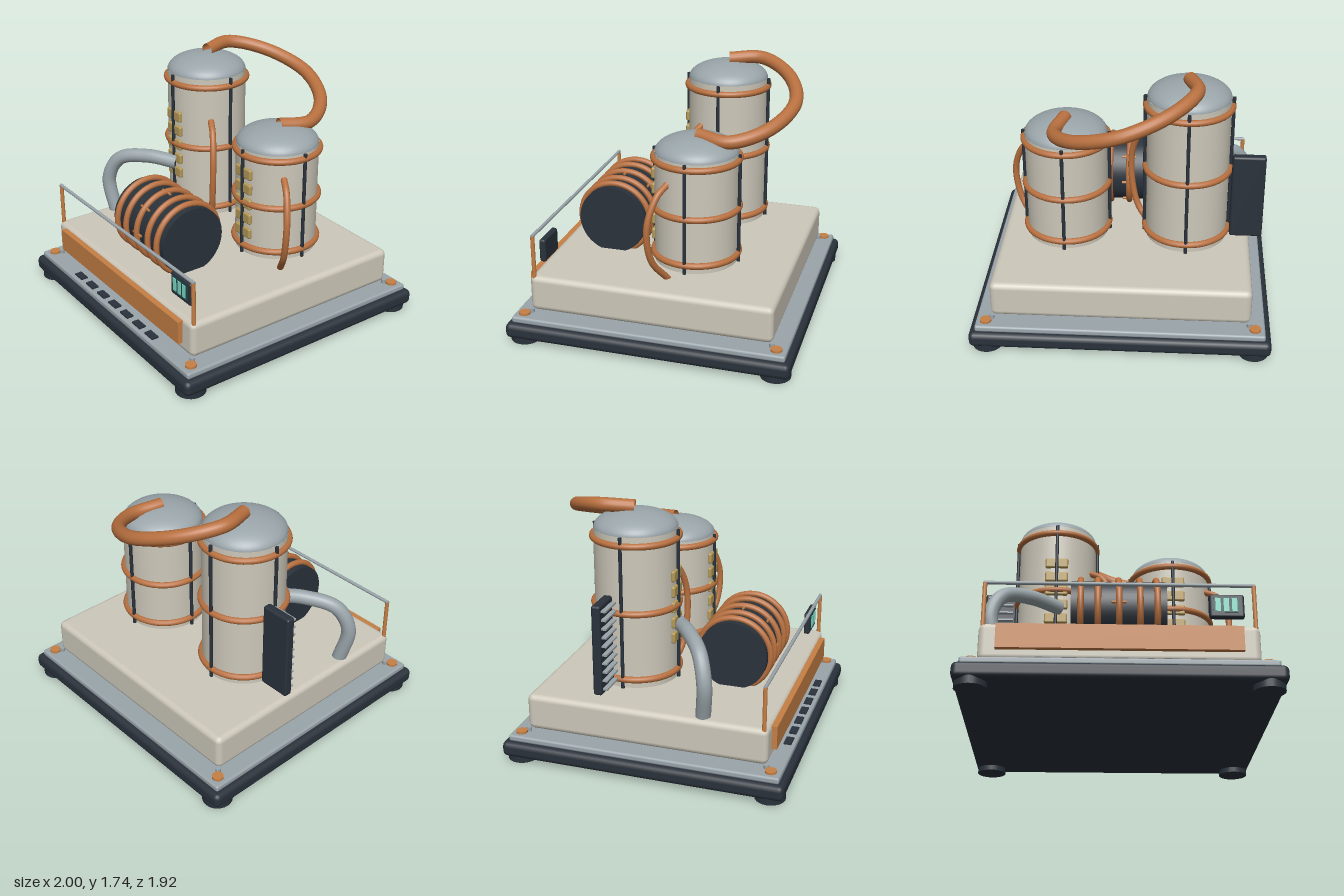
import * as THREE from 'three';
import { RoundedBoxGeometry } from 'three/addons/geometries/RoundedBoxGeometry.js';

const mat = (color, side = THREE.FrontSide) => new THREE.MeshStandardMaterial({ color, side });

export function createModel() {
  const root = new THREE.Group();
  const cream = mat(0xcdc8ba), dark = mat(0x2a323b), copper = mat(0xb8703f), orange = mat(0xc67f45);
  const steel = mat(0x9aa5aa), brass = mat(0xb59a58), teal = mat(0x7fdcc8), screenGreen = mat(0x1f4a4a);
  const copperPipe = mat(0xb8703f, THREE.DoubleSide), steelPipe = mat(0x9aa5aa, THREE.DoubleSide);

  const add = (name, geo, material, x = 0, y = 0, z = 0, parent = root) => {
    const m = new THREE.Mesh(geo, material);
    m.name = name;
    m.position.set(x, y, z);
    parent.add(m);
    return m;
  };
  const group = (name, x = 0, y = 0, z = 0, parent = root) => {
    const g = new THREE.Group();
    g.name = name;
    g.position.set(x, y, z);
    parent.add(g);
    return g;
  };
  const box = (w, h, d) => new THREE.BoxGeometry(w, h, d);
  const rbox = (w, h, d, r) => new RoundedBoxGeometry(w, h, d, 2, r);
  const cyl = (r, h, n = 16, r2 = r) => new THREE.CylinderGeometry(r, r2, h, n);
  const pipe = (name, pts, r, material) => {
    const curve = new THREE.CatmullRomCurve3(pts.map(p => new THREE.Vector3(...p)));
    return add(name, new THREE.TubeGeometry(curve, 64, r, 16), material);
  };

  // Base slab, top plate and main housing
  add('baseSlab', rbox(2, 0.105, 1.925, 0.035), dark, 0, 0.088, 0);
  add('basePlate', rbox(1.92, 0.045, 1.85, 0.015), steel, 0, 0.16, 0);
  add('housing', rbox(1.73, 0.25, 1.65, 0.04), cream, 0, 0.325, 0);

  // Feet and corner bolts
  for (const sx of [-1, 1]) for (const sz of [-1, 1]) {
    add('foot', cyl(0.1, 0.07, 24), dark, sx * 0.888, 0.035, sz * 0.857);
    add('cornerBolt', cyl(0.038, 0.016), orange, sx * 0.892, 0.19, sz * 0.857);
    add('cornerPin', cyl(0.018, 0.04, 10), steel, sx * 0.855, 0.19, sz * 0.82);
  }

  // Front vents and front panel
  for (let i = -3; i <= 3; i++) add('vent', box(0.095, 0.016, 0.05), dark, i * 0.155, 0.185, 0.875);
  add('frontPanel', box(1.514, 0.16, 0.04), orange, 0, 0.35, 0.84);

  // Guard rail
  const rail = group('guardRail', 0, 0, 0.795);
  for (const sx of [-1, 1]) add('railPost', cyl(0.014, 0.31, 12), orange, sx * 0.84, 0.58, 0, rail);
  const bar = add('railBar', cyl(0.012, 1.7, 12), steel, 0, 0.735, 0, rail);
  bar.rotation.z = Math.PI / 2;

  // Meter with lit bars
  const meter = group('meter', 0.67, 0.605, 0.757);
  add('meterCase', rbox(0.22, 0.16, 0.045, 0.015), dark, 0, 0, 0, meter);
  add('meterScreen', box(0.17, 0.11, 0.006), screenGreen, 0, 0.005, 0.022, meter);
  for (let i = -1; i <= 1; i++) add('meterBar', box(0.034, 0.09, 0.006), teal, i * 0.052 - 0.005, 0.005, 0.026, meter);

  // Tanks: shell, flattened dome, hoops, vertical straps and sight windows
  const tank = (name, x, top, hoops, windows) => {
    const g = group(name, x, 0, -0.195), bottom = 0.525, h = top - bottom;
    add('tankShell', cyl(0.277, h, 48), cream, 0, bottom + h / 2, 0, g);
    const dome = add('tankDome', new THREE.SphereGeometry(0.277, 48, 14, 0, Math.PI * 2, 0, Math.PI / 2), steel, 0, top - 0.005, 0, g);
    dome.scale.y = 0.42;
    for (const y of hoops) {
      const hoop = add('tankHoop', new THREE.TorusGeometry(0.283, 0.022, 12, 48), copper, 0, y, 0, g);
      hoop.rotation.x = Math.PI / 2;
    }
    for (let i = 0; i < 4; i++) {
      const a = i * Math.PI / 2;
      add('tankStrap', cyl(0.012, h, 10), dark, Math.sin(a) * 0.289, bottom + h / 2, Math.cos(a) * 0.289, g);
    }
    for (const y of windows) add('sightWindow', rbox(0.16, 0.075, 0.03, 0.012), brass, 0, y, 0.276, g);
  };
  tank('tallTank', -0.42, 1.555, [1.497, 1.043, 0.585], [1.255, 1.148, 1.041, 0.934, 0.827]);
  tank('shortTank', 0.397, 1.278, [1.24, 0.905, 0.582], [1.117, 1.009, 0.901, 0.793, 0.685]);

  // Large pipe joining the two domes
  pipe('crossoverPipe', [[-0.42, 1.68, -0.2], [-0.468, 1.69, -0.42], [-0.3, 1.63, -0.645], [0, 1.53, -0.755],
    [0.3, 1.43, -0.645], [0.45, 1.372, -0.42], [0.4, 1.385, -0.2]], 0.046, copperPipe);

  // Thin drain pipes bowing out from each tank
  for (const [x, y] of [[-0.42, 1.25], [0.397, 1.115]]) {
    pipe('drainPipe', [[x + 0.235, y, -0.065], [x + 0.32, y - 0.06, -0.02], [x + 0.388, y - 0.25, 0.025],
      [x + 0.35, 0.62, 0.01], [x + 0.22, 0.44, -0.065]], 0.022, copperPipe);
  }

  // Grey hose from tall tank to housing
  pipe('hose', [[-0.39, 0.9, 0.09], [-0.58, 0.915, 0.22], [-0.76, 0.865, 0.345], [-0.835, 0.7, 0.4], [-0.785, 0.43, 0.38]],
    0.05, steelPipe);

  // Radiator with slats on its front
  const radiator = group('radiator', -0.826, 0.865, -0.28);
  add('radiatorBody', rbox(0.222, 0.61, 0.06, 0.015), dark, 0, 0, 0, radiator);
  for (let i = 0; i < 10; i++) add('radiatorSlat', box(0.18, 0.012, 0.04), steel, 0, (i - 4.5) * 0.059, 0.042, radiator);

  // Horizontal drum with coils and clips
  const drum = group('drum', 0, 0.67, 0.433);
  const shell = add('drumBody', cyl(0.237, 0.615, 48), dark, 0, 0, 0, drum);
  shell.rotation.z = Math.PI / 2;
  for (const x of [-0.245, -0.135, 0, 0.135, 0.245]) {
    const coil = add('drumCoil', new THREE.TorusGeometry(0.248, 0.021, 12, 48), copper, x, 0, 0, drum);
    coil.rotation.y = Math.PI / 2;
  }
  for (let i = 0; i < 8; i++) {
    const a = i * Math.PI / 4;
    const clip = add('drumClip', cyl(0.009, 0.095, 8), orange, 0, Math.cos(a) * 0.243, Math.sin(a) * 0.243, drum);
    clip.rotation.z = Math.PI / 2;
  }
  return root;
}
